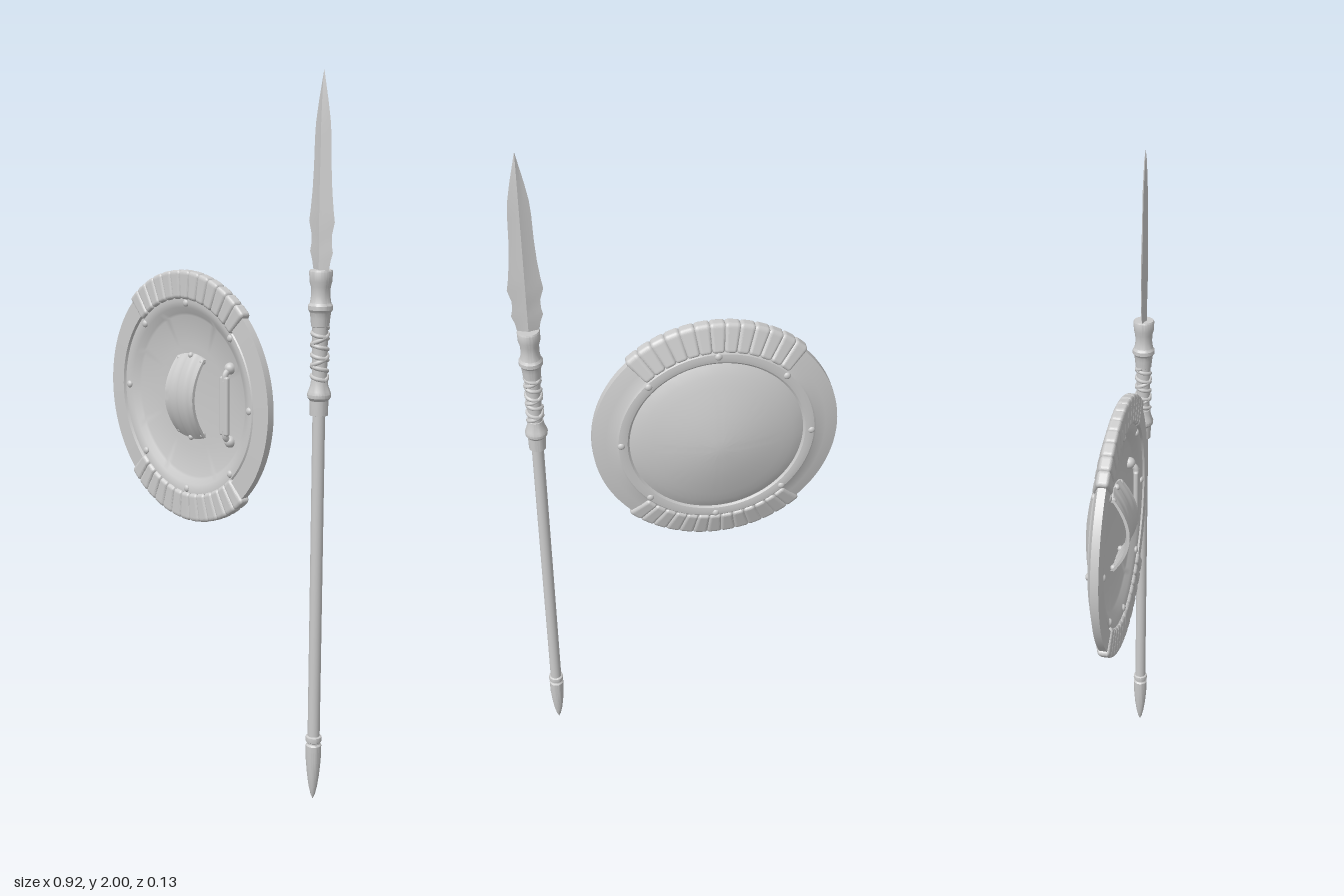
import * as THREE from 'three';
import { toCreasedNormals } from 'three/addons/utils/BufferGeometryUtils.js';
import { RoundedBoxGeometry } from 'three/addons/geometries/RoundedBoxGeometry.js';

const material = new THREE.MeshStandardMaterial({ color: 0xcccccc });

function add(parent, name, geometry, x = 0, y = 0, z = 0) {
  const mesh = new THREE.Mesh(geometry, material);
  mesh.name = name;
  mesh.position.set(x, y, z);
  parent.add(mesh);
  return mesh;
}

function lathe(profile, segments, crease = 0.5) {
  const points = profile.map(([r, h]) => new THREE.Vector2(r, h));
  return toCreasedNormals(new THREE.LatheGeometry(points, segments), crease);
}

// Move every vertex of a geometry by a rule
function reshape(geometry, rule) {
  const p = geometry.attributes.position;
  const v = new THREE.Vector3();
  for (let i = 0; i < p.count; i++) {
    rule(v.fromBufferAttribute(p, i));
    p.setXYZ(i, v.x, v.y, v.z);
  }
  geometry.computeVertexNormals();
  return geometry;
}

// Back of the rim slopes forward towards its outer edge
const rimBack = (r) => THREE.MathUtils.mapLinear(r, 0.29, 0.36, -0.006, 0.014);

function makePad(width) {
  const geometry = new RoundedBoxGeometry(width, 0.084, 0.05, 4, 0.012);
  return reshape(geometry, (v) => {
    const r = 0.328 + v.y;
    v.x *= r / 0.37;
    const t = (v.z + 0.025) / 0.05;
    v.z = THREE.MathUtils.lerp(rimBack(r) - 0.007, 0.043, t);
    v.y = r;
  });
}

function makeShield() {
  const shield = new THREE.Group();
  shield.name = 'shield';

  // Domed back, sloping rim and shallow front face in one turned profile
  const body = lathe([
    [0, -0.066], [0.03, -0.064], [0.07, -0.059], [0.11, -0.051], [0.15, -0.041],
    [0.19, -0.029], [0.22, -0.019], [0.245, -0.008], [0.252, -0.004], [0.258, -0.009],
    [0.27, -0.011], [0.284, -0.009], [0.29, -0.004], [0.32, 0.002], [0.357, 0.014],
    [0.358, 0.036], [0.3, 0.038], [0.297, 0.03], [0.293, 0.03], [0.289, 0.034],
    [0.278, 0.034], [0.262, 0.029], [0.245, 0.018], [0.238, 0.015], [0.15, 0.008], [0, 0.002],
  ], 96);
  body.rotateX(Math.PI / 2);
  add(shield, 'shieldBody', body);

  // Padded wraps over the top and bottom of the rim
  const count = 13, span = THREE.MathUtils.degToRad(88), step = span / count;
  const pad = makePad(0.37 * step * 1.08);
  for (const base of [0, Math.PI]) {
    for (let i = 0; i < count; i++) {
      const mesh = add(shield, 'rimPad', pad);
      mesh.rotation.z = base + (i - (count - 1) / 2) * step;
    }
  }

  // Rivets on both faces of the inner ring
  const rivet = new THREE.SphereGeometry(0.011, 14, 10);
  for (let i = 0; i < 8; i++) {
    const a = (i * Math.PI) / 4;
    for (const z of [-0.008, 0.032]) {
      add(shield, 'rivet', rivet, 0.276 * Math.cos(a), 0.276 * Math.sin(a), z).scale.z = 0.7;
    }
  }

  // Arched forearm strap with raised edges
  const strap = reshape(new THREE.BoxGeometry(0.124, 0.23, 0.009, 16, 24, 1), (v) => {
    const u = v.x / 0.062, t = v.y / 0.115;
    v.z += 0.006 + 0.046 * (1 - t * t) + 0.008 * u ** 6 + 0.002 * Math.cos(u * 9);
    v.x *= 1.03 - 0.06 * t * t;
    v.y += 0.012 * t * (1 - u * u);
  });
  add(shield, 'armStrap', toCreasedNormals(strap, 0.7));
  const stud = new THREE.SphereGeometry(0.009, 12, 8);
  for (const sy of [-1, 1]) {
    for (const sx of [-1, 0, 1]) {
      add(shield, 'strapStud', stud, sx * 0.052, sy * (sx ? 0.108 : 0.122), 0.014);
    }
  }

  // Hand grip with a knob and foot at each end
  const grip = new THREE.Group();
  grip.name = 'handGrip';
  grip.position.set(0.177, 0, 0);
  shield.add(grip);
  add(grip, 'gripBar', new RoundedBoxGeometry(0.034, 0.17, 0.014, 3, 0.006), 0, 0, 0.037);
  for (const s of [-1, 1]) {
    const leg = new THREE.CatmullRomCurve3([
      new THREE.Vector3(0, s * 0.07, 0.036), new THREE.Vector3(0, s * 0.092, 0.033),
      new THREE.Vector3(0, s * 0.108, 0.01),
    ]);
    add(grip, 'gripLeg', new THREE.TubeGeometry(leg, 10, 0.009, 10));
    add(grip, 'gripKnob', new THREE.SphereGeometry(0.017, 16, 12), 0, s * 0.106, 0.016);
  }
  return shield;
}

function makeBlade() {
  // Height, half width and half thickness of diamond cross-sections
  const sections = [
    [1.48, 0.022, 0.009], [1.5, 0.03, 0.009], [1.52, 0.034, 0.009], [1.542, 0.042, 0.009],
    [1.56, 0.038, 0.009], [1.585, 0.037, 0.01], [1.62, 0.047, 0.01], [1.65, 0.042, 0.01],
    [1.7, 0.036, 0.01], [1.76, 0.032, 0.009], [1.83, 0.03, 0.008], [1.87, 0.027, 0.008],
    [1.92, 0.018, 0.006], [1.97, 0.007, 0.004], [2, 0.0005, 0.0005],
  ];
  const positions = [], index = [], n = 8;
  sections.forEach(([y, w, d]) => {
    // Ridge, hollow and edge points around the section
    for (let i = 0; i < n; i++) {
      const a = (i * Math.PI * 2) / n, k = i % 2 ? 0.62 : 1;
      positions.push(Math.cos(a) * w * k, y, Math.sin(a) * d * k);
    }
  });
  for (let s = 0; s < sections.length - 1; s++) {
    for (let i = 0; i < n; i++) {
      const a = s * n + i, b = s * n + ((i + 1) % n);
      index.push(a, a + n, b, b, a + n, b + n);
    }
  }
  const geometry = new THREE.BufferGeometry();
  geometry.setAttribute('position', new THREE.Float32BufferAttribute(positions, 3));
  geometry.setIndex(index);
  return toCreasedNormals(geometry, 0.35);
}

function makeSpear() {
  const spear = new THREE.Group();
  spear.name = 'spear';
  add(spear, 'shaft', new THREE.CylinderGeometry(0.017, 0.017, 1.22, 24), 0, 0.77, 0);
  add(spear, 'buttCap', lathe([
    [0, 0], [0.006, 0.014], [0.012, 0.04], [0.017, 0.075], [0.021, 0.12], [0.022, 0.165],
    [0.018, 0.17], [0.018, 0.174], [0.022, 0.177], [0.023, 0.184], [0.022, 0.191], [0.016, 0.194],
  ], 24));
  add(spear, 'lowerCollar', lathe([
    [0.016, 1.108], [0.024, 1.11], [0.025, 1.145], [0.025, 1.15], [0.031, 1.158],
    [0.032, 1.167], [0.029, 1.176], [0.024, 1.19], [0.022, 1.205], [0.018, 1.207],
  ], 24));
  add(spear, 'gripCore', new THREE.CylinderGeometry(0.021, 0.02, 0.17, 24), 0, 1.28, 0);
  add(spear, 'headSocket', lathe([
    [0.018, 1.345], [0.024, 1.348], [0.026, 1.37], [0.028, 1.385], [0.033, 1.392],
    [0.033, 1.403], [0.028, 1.41], [0.025, 1.43], [0.026, 1.452], [0.03, 1.466],
    [0.031, 1.492], [0.029, 1.496], [0, 1.496],
  ], 24));

  // Crossed cord wound around the grip
  for (const [dir, turns] of [[1, 5], [-1, 2.5]]) {
    const points = [];
    for (let i = 0; i <= turns * 12; i++) {
      const a = (dir * i * Math.PI) / 6;
      points.push(new THREE.Vector3(
        0.02 * Math.cos(a), 1.205 + (0.143 * i) / (turns * 12), 0.02 * Math.sin(a)));
    }
    add(spear, 'gripCord', new THREE.TubeGeometry(new THREE.CatmullRomCurve3(points), 120, 0.006, 8));
  }
  add(spear, 'blade', makeBlade());
  return spear;
}

export function createModel() {
  const model = new THREE.Group();
  model.name = 'shieldAndSpear';
  const shield = makeShield();
  shield.position.set(-0.102, 1.088, 0);
  const spear = makeSpear();
  spear.position.set(0.41, 0, -0.006);
  model.add(shield, spear);
  return model;
}
